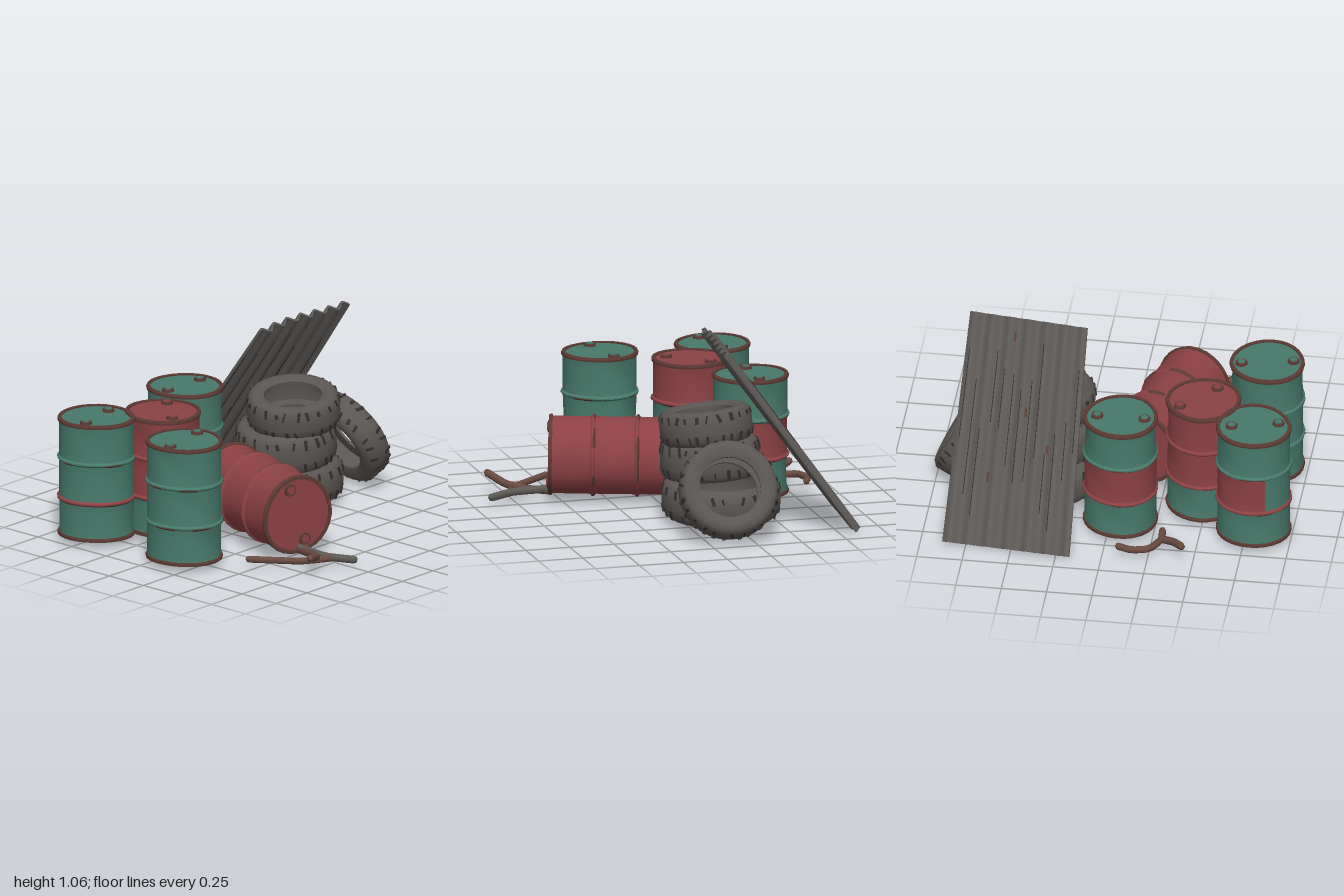
import * as THREE from 'three';
import { mergeGeometries, toCreasedNormals } from 'three/addons/utils/BufferGeometryUtils.js';

const paint = (name, color) => new THREE.MeshStandardMaterial({ name, color });
const V = (x, y, z) => new THREE.Vector3(x, y, z);
const UP = V(0, 1, 0);

export function createModel() {
  const M = {
    green: paint('faded green paint', 0x47796a),
    red: paint('faded red paint', 0x8c4143),
    rust: paint('rust', 0x5c3a33),
    rubber: paint('worn rubber', 0x5a5653),
    groove: paint('dark groove', 0x332f2e),
    metal: paint('dull sheet metal', 0x5d5a57),
    brownWood: paint('brown wood', 0x6a4b41),
    greyWood: paint('grey wood', 0x5e5a55),
  };
  let seed = 7;
  const rnd = () => (seed = (seed * 16807) % 2147483647) / 2147483647;
  const root = new THREE.Group();
  root.name = 'scrapPile';

  const addMesh = (parent, name, geo, mat) => {
    const mesh = new THREE.Mesh(geo, mat);
    mesh.name = name;
    parent.add(mesh);
    return mesh;
  };

  // Barrel with its base at the local origin; bands lists [colour, phiStart, phiLength] for each third
  const H = 0.665, R = 0.2;
  function barrel(name, bands, lid, bungs, phase, dent) {
    const g = new THREE.Group();
    g.name = name;
    // Uneven, dented outline shared by every piece of the barrel
    const warp = (geo) => {
      const p = geo.attributes.position;
      for (let i = 0; i < p.count; i++) {
        const x = p.getX(i), y = p.getY(i), z = p.getZ(i), a = Math.atan2(x, z);
        const belly = Math.sin((y / H) * Math.PI * 3) ** 2;
        const k = 1 + 0.018 * Math.sin(2 * a + phase) + 0.018 * Math.sin(3 * a + 2 * phase)
          - dent * belly * Math.max(0, Math.sin(2 * a + 5 * y + phase)) ** 3;
        p.setXYZ(i, x * k, y, z * k);
      }
      return toCreasedNormals(geo, 0.6);
    };
    const lathe = (pts, s = 0, l = Math.PI * 2) =>
      new THREE.LatheGeometry(pts.map(([r, y]) => new THREE.Vector2(r, y)), Math.max(4, Math.round(l * 4.5)), s, l);

    // Three wall sections, split by rolled hoops
    const cuts = [0, 0.215, 0.44, H];
    bands.forEach((parts, i) => parts.forEach(([mat, s, l]) => {
      const a = cuts[i], b = cuts[i + 1];
      const pts = [0, 0.1, 0.35, 0.65, 0.9, 1].map((t) => [R + (t > 0 && t < 1 ? 0 : 0.003), a + (b - a) * t]);
      addMesh(g, 'wallSection', warp(lathe(pts, s, l)), mat);
    }));
    // Hoops, with broken rust along them
    cuts.slice(1, 3).forEach((y, i) => {
      const hoop = lathe([[R, y - 0.014], [R + 0.011, y - 0.004], [R + 0.011, y + 0.004], [R, y + 0.014]]);
      addMesh(g, 'hoop', warp(hoop), bands[i + 1][0][0]);
      for (let k = 0; k < 5; k++) {
        const s = k * 1.25 + rnd(), l = 0.25 + rnd() * 0.5;
        addMesh(g, 'hoopRust', warp(lathe([[R + 0.002, y - 0.014], [R + 0.013, y - 0.005], [R + 0.012, y]], s, l)), M.rust);
      }
    });
    // Rims and end plates
    const rim = (y) => lathe([[R - 0.012, y - 0.01], [R + 0.008, y - 0.01], [R + 0.01, y], [R + 0.006, y + 0.01],
      [R - 0.012, y + 0.01], [R - 0.012, y - 0.01]]);
    addMesh(g, 'bottomRim', warp(rim(0.01)), M.rust);
    addMesh(g, 'topRim', warp(rim(H - 0.008)), M.rust);
    addMesh(g, 'lid', warp(lathe([[R - 0.008, H - 0.006], [0.1, H - 0.006], [0, H - 0.006]])), lid);
    addMesh(g, 'base', warp(lathe([[0, 0.004], [0.1, 0.004], [R, 0.004]])), bands[0][0][0]);
    // Screw caps
    bungs.forEach(([x, z, bottom]) => {
      const y = bottom ? -0.002 : H + 0.001;
      addMesh(g, 'capRing', new THREE.CylinderGeometry(0.032, 0.034, 0.014, 10), M.rust).position.set(x, y, z);
      addMesh(g, 'cap', new THREE.CylinderGeometry(0.022, 0.022, 0.022, 6), lid).position.set(x, y, z);
    });
    root.add(g);
    return g;
  }
  const full = (m) => [[m, 0, Math.PI * 2]];
  const split = (m1, s, l, m2) => [[m1, s, l], [m2, s + l, Math.PI * 2 - l]];
  const { green, red } = M;
  barrel('backRightBarrel', [full(green), split(red, 0.6, 3, green), full(green)], green,
    [[-0.13, 0.04], [0.12, -0.02]], 0.6, 0.03).position.set(-0.79, 0.032, -0.51);
  barrel('middleBarrel', [full(green), split(red, 0.7, 4.4, green), full(red)], red,
    [[0.12, -0.08], [-0.06, 0.12]], 2, 0.05).position.set(-0.485, 0.035, -0.295);
  barrel('backBarrel', [full(green), split(red, 1.2, 3.9, green), full(green)], green,
    [[-0.13, -0.01], [0.13, -0.01]], 1.3, 0.05).position.set(-0.06, 0.032, -0.515);
  barrel('frontRightBarrel', [full(green), full(green), full(green)], green,
    [[-0.14, 0.02], [0.14, -0.035]], 1.1, 0.06).position.set(-0.78, 0.032, 0.13);
  const fallen = barrel('fallenBarrel', [full(red), full(red), full(red)], red,
    [[0, -0.15], [0, 0.14], [0, -0.15, true]], 2.6, 0.05);
  fallen.quaternion.setFromUnitVectors(UP, V(-0.3, 0.01, 0.954).normalize());
  fallen.position.set(-0.115, 0.24, -0.125);
  fallen.scale.set(1.05, 1.07, 1.05);

  // Hollow tyre around its local y axis, with worn tread cuts on both shoulders
  function tyre(name, r, h, bead, pos, axis) {
    const g = new THREE.Group();
    g.name = name;
    const profile = [[bead, -0.8], [0.78, -1], [0.9, -0.93], [0.97, -0.7], [1, -0.3], [1, 0.3], [0.97, 0.7], [0.9, 0.93],
      [0.78, 1], [bead, 0.8], [bead, 0.62], [0.84, 0.6], [0.88, 0], [0.84, -0.6], [bead, -0.62], [bead, -0.8]];
    const body = new THREE.LatheGeometry(profile.map(([x, y]) => new THREE.Vector2(x * r, y * h)), 32);
    addMesh(g, 'casing', toCreasedNormals(body, 0.7), M.rubber);
    const cuts = [];
    for (const side of [-1, 1]) {
      for (let i = 0; i < 24; i++) {
        const cut = new THREE.BoxGeometry(0.009, h * (0.25 + rnd() * 0.3), 0.008 + rnd() * 0.012);
        cut.rotateX((rnd() - 0.5) * 0.8).rotateZ(side * 0.22);
        cut.translate(r * 0.982, side * h * 0.58, 0).rotateY(((i + rnd() * 0.5) / 24) * Math.PI * 2);
        cuts.push(cut);
      }
    }
    addMesh(g, 'treadCuts', mergeGeometries(cuts), M.groove);
    g.position.set(...pos);
    g.quaternion.setFromUnitVectors(UP, V(...axis).normalize());
    root.add(g);
  }
  tyre('bottomTyre', 0.325, 0.105, 0.7, [0.405, 0.135, -0.21], [0.05, 1, 0]);
  tyre('middleTyre', 0.275, 0.11, 0.64, [0.365, 0.355, -0.16], [-0.08, 1, 0.03]);
  tyre('topTyre', 0.255, 0.097, 0.62, [0.39, 0.545, -0.128], [-0.13, 1, 0.08]);
  tyre('leaningTyre', 0.272, 0.09, 0.62, [0.82, 0.277, -0.13], [0.88, 0.46, 0.11]);

  // Corrugated sheet: wavy strip laid over a skewed, leaning quad
  const sheet = new THREE.Group();
  sheet.name = 'corrugatedSheet';
  root.add(sheet);
  const corner = { a: V(0.17, 0.012, -0.91), b: V(0.88, 0.012, -0.85), c: V(0.17, 1.02, -0.165), d: V(0.825, 1.05, -0.125) };
  const normal = V(0.05, 0.6, -0.8).normalize();
  const wave = (u) => 0.017 * Math.sin(u * Math.PI * 2 * 6.5 + 0.6);
  const lay = (geo) => {
    const p = geo.attributes.position;
    for (let i = 0; i < p.count; i++) {
      const u = p.getX(i), v = p.getZ(i);
      const low = corner.a.clone().lerp(corner.b, u), high = corner.c.clone().lerp(corner.d, u);
      low.lerp(high, v).addScaledVector(normal, p.getY(i) + 0.012 * Math.sin(u * 5) * v);
      p.setXYZ(i, low.x, Math.max(0, low.y), low.z);
    }
    return toCreasedNormals(geo, 0.6);
  };
  const N = 60, edge = [];
  for (let i = 0; i <= N; i++) edge.push(new THREE.Vector2(i / N, wave(i / N) - 0.007));
  for (let i = N; i >= 0; i--) edge.push(new THREE.Vector2(i / N, wave(i / N) + 0.007));
  addMesh(sheet, 'panel', lay(new THREE.ExtrudeGeometry(new THREE.Shape(edge),
    { depth: 1, steps: 4, bevelEnabled: false })), M.metal);
  // Dark creases and rust flakes on both faces
  const mark = (name, mat, u, v, w, l, side) => {
    const geo = new THREE.BoxGeometry(w, 0.005, l).translate(u, wave(u) + side * 0.0075, v);
    addMesh(sheet, name, lay(geo), mat);
  };
  for (let i = 0; i < 13; i++) {
    const u = (i + 0.5) / 13;
    for (const side of [-1, 1]) mark('crease', M.groove, u, 0.3 + rnd() * 0.4, 0.006, 0.25 + rnd() * 0.3, side);
  }
  [[0.6, 0.92], [0.45, 0.6], [0.25, 0.45], [0.7, 0.3]].forEach(([u, v]) =>
    [-1, 1].forEach((side) => mark('rustFlake', M.rust, u, v, 0.022, 0.04, side)));

  // Broken branches
  function branch(name, mat, r, pts) {
    const path = new THREE.CatmullRomCurve3(pts.map((p) => V(...p)), false, 'catmullrom', 0.2);
    const g = new THREE.Group();
    g.name = name;
    addMesh(g, 'bark', new THREE.TubeGeometry(path, 12, r, 7), mat);
    for (const t of [0, 1]) {
      const end = addMesh(g, 'brokenEnd', new THREE.SphereGeometry(r, 7, 4), mat);
      end.position.copy(path.getPoint(t));
      end.scale.setScalar(0.98);
    }
    root.add(g);
  }
  branch('frontBranchLong', M.brownWood, 0.019, [[-0.645, 0.055, 0.48], [-0.47, 0.05, 0.7], [-0.32, 0.05, 0.79]]);
  branch('frontBranchRaised', M.brownWood, 0.022, [[-0.545, 0.115, 0.84], [-0.42, 0.08, 0.775], [-0.36, 0.06, 0.68], [-0.32, 0.05, 0.56]]);
  branch('frontBranchGrey', M.greyWood, 0.022, [[-0.32, 0.06, 0.56], [-0.325, 0.055, 0.76], [-0.255, 0.05, 0.9]]);
  branch('backBranchLong', M.brownWood, 0.02, [[-0.305, 0.05, -0.64], [-0.31, 0.05, -0.73], [-0.26, 0.06, -0.84], [-0.165, 0.06, -0.865], [-0.09, 0.06, -0.84]]);
  branch('backBranchShort', M.brownWood, 0.022, [[-0.435, 0.09, -0.84], [-0.38, 0.07, -0.77], [-0.31, 0.05, -0.72]]);

  return root;
}
